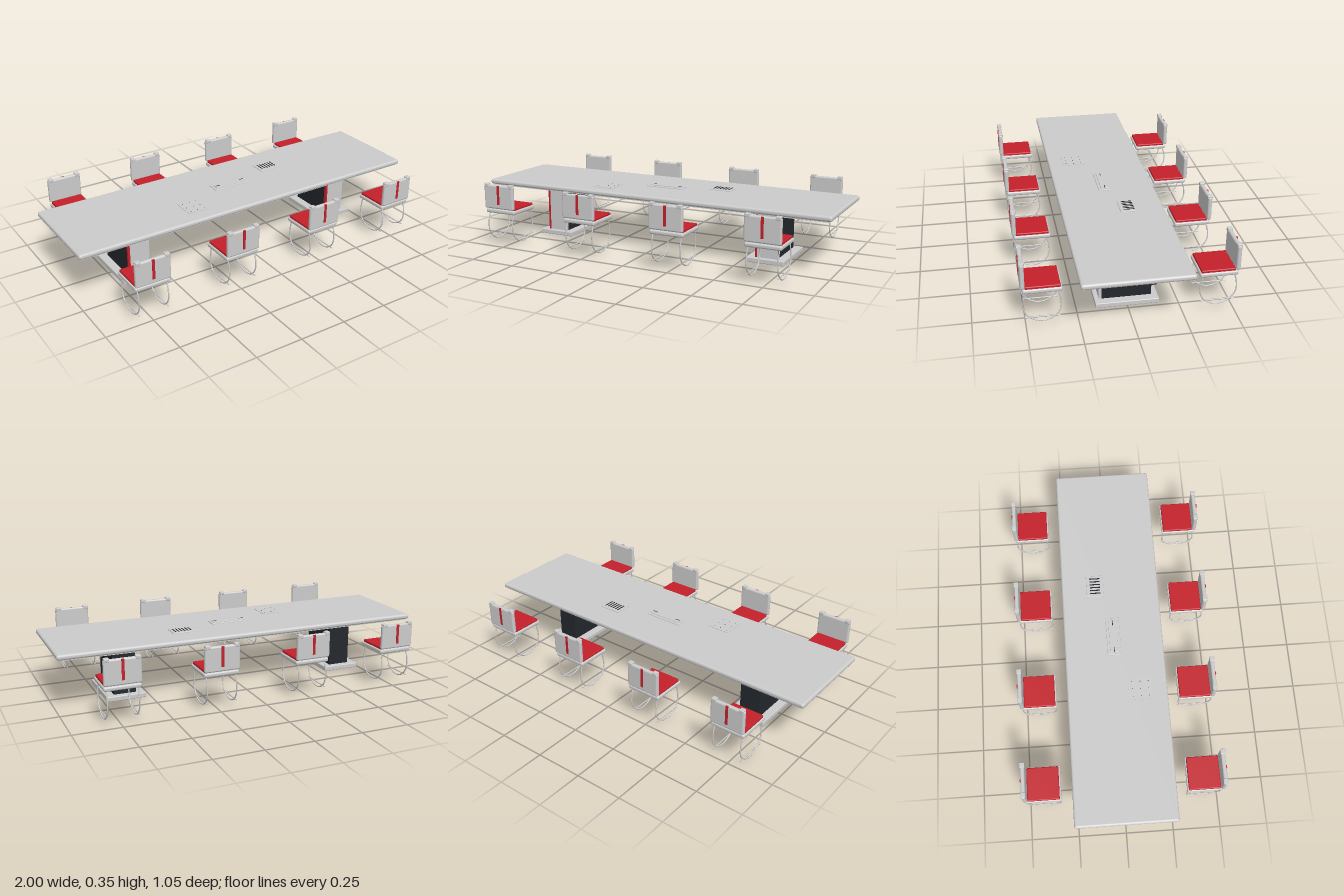
import * as THREE from 'three';
import { RoundedBoxGeometry } from 'three/addons/geometries/RoundedBoxGeometry.js';

const grey = new THREE.MeshStandardMaterial({ color: 0xcccccc });
const dark = new THREE.MeshStandardMaterial({ color: 0x23272c });
const red = new THREE.MeshStandardMaterial({ color: 0xc4202a });

function add(parent, name, geometry, material, x = 0, y = 0, z = 0) {
  const mesh = new THREE.Mesh(geometry, material);
  mesh.name = name;
  mesh.position.set(x, y, z);
  parent.add(mesh);
  return mesh;
}

// Box given by its extents; a radius rounds its edges
function block(parent, name, material, [x0, x1], [y0, y1], [z0, z1], radius = 0) {
  const size = [x1 - x0, y1 - y0, z1 - z0];
  const geometry = radius ? new RoundedBoxGeometry(...size, 3, radius) : new THREE.BoxGeometry(...size);
  return add(parent, name, geometry, material, (x0 + x1) / 2, (y0 + y1) / 2, (z0 + z1) / 2);
}

function createTable() {
  const table = new THREE.Group();
  table.name = 'table';
  block(table, 'tableTop', grey, [-1, 1], [0.287, 0.315], [-0.264, 0.264], 0.012);
  block(table, 'topUnderlay', grey, [-0.985, 0.985], [0.282, 0.292], [-0.252, 0.252]);
  block(table, 'cableChannel', dark, [-0.96, 0.96], [0.26, 0.284], [-0.083, 0.083]);

  for (const x of [-0.632, 0.632]) {
    const pedestal = new THREE.Group();
    pedestal.name = 'pedestal';
    pedestal.position.x = x;
    table.add(pedestal);
    block(pedestal, 'base', grey, [-0.103, 0.103], [0.003, 0.028], [-0.157, 0.157], 0.004);
    block(pedestal, 'basePlate', dark, [-0.035, 0.035], [0, 0.01], [-0.1, 0.1]);
    block(pedestal, 'column', dark, [-0.06, 0.06], [0.026, 0.28], [-0.126, 0.126], 0.004);
    block(pedestal, 'frontPanel', grey, [-0.048, 0.06], [0.026, 0.267], [0.12, 0.135]);
    block(pedestal, 'panelStripe', red, [-0.06, -0.048], [0.026, 0.267], [0.12, 0.135]);
  }
  return table;
}

function createTableFittings() {
  const fittings = new THREE.Group();
  fittings.name = 'tableFittings';

  // Central connection box with a raised lid and two dark slots
  block(fittings, 'connectionBox', grey, [-0.106, 0.106], [0.31, 0.32], [-0.036, 0.036], 0.003);
  block(fittings, 'connectionLid', grey, [-0.092, 0.092], [0.316, 0.324], [-0.022, 0.022], 0.002);
  for (const x of [-0.075, 0.075])
    block(fittings, 'lidSlot', dark, [x - 0.013, x + 0.013], [0.32, 0.3248], [-0.002, 0.002]);

  // Vent with slots
  block(fittings, 'ventPlate', grey, [0.238, 0.362], [0.31, 0.32], [-0.128, -0.034], 0.003);
  for (let i = 0; i < 6; i++) {
    const x = 0.257 + i * 0.0172;
    block(fittings, 'ventSlot', dark, [x - 0.003, x + 0.003], [0.315, 0.3212], [-0.109, -0.053]);
  }

  // Flush plate with small studs
  block(fittings, 'flushPlate', grey, [-0.36, -0.24], [0.31, 0.3172], [0.06, 0.185]);
  const stud = new THREE.CylinderGeometry(0.002, 0.002, 0.002, 8);
  for (const x of [-0.34, -0.3, -0.26])
    for (const z of [0.08, 0.1225, 0.165]) add(fittings, 'plateStud', stud, dark, x, 0.3172, z);
  return fittings;
}

// Chair centred on x = 0, its back toward +z
function createChair() {
  const chair = new THREE.Group();
  chair.name = 'chair';
  block(chair, 'seat', grey, [-0.093, 0.093], [0.19, 0.213], [0.325, 0.512], 0.009);
  block(chair, 'cushion', red, [-0.086, 0.086], [0.208, 0.225], [0.333, 0.5], 0.005);
  block(chair, 'backrest', grey, [-0.093, 0.093], [0.217, 0.347], [0.499, 0.521], 0.009);
  block(chair, 'backStripe', red, [-0.007, 0.007], [0.242, 0.345], [0.51, 0.5235]);
  for (const x of [-0.076, 0.076])
    block(chair, 'backCap', grey, [x - 0.013, x + 0.013], [0.335, 0.354], [0.497, 0.523], 0.004);

  // Looped side frames, each with a straight stretcher
  const path = [
    [0.19, 0.497], [0.15, 0.508], [0.1, 0.509], [0.064, 0.491], [0.039, 0.457],
    [0.031, 0.42], [0.039, 0.383], [0.064, 0.349], [0.1, 0.333], [0.15, 0.335], [0.195, 0.345],
  ].map(([y, z]) => new THREE.Vector3(0, y, z));
  const loop = new THREE.TubeGeometry(new THREE.CatmullRomCurve3(path), 48, 0.0034, 8);
  const bar = new THREE.CylinderGeometry(0.003, 0.003, 0.17, 8).rotateX(Math.PI / 2);
  for (const x of [-0.078, 0.078]) {
    add(chair, 'legLoop', loop, grey, x);
    add(chair, 'legStretcher', bar, grey, x, 0.054, 0.42);
  }
  return chair;
}

export function createModel() {
  const model = new THREE.Group();
  model.name = 'conferenceSet';
  model.add(createTable(), createTableFittings());

  // Four chairs along each long side, facing the table
  const chair = createChair();
  for (const x of [-0.748, -0.25, 0.25, 0.748])
    for (const turn of [0, Math.PI]) {
      const copy = chair.clone();
      copy.position.x = x;
      copy.rotation.y = turn;
      model.add(copy);
    }
  return model;
}
